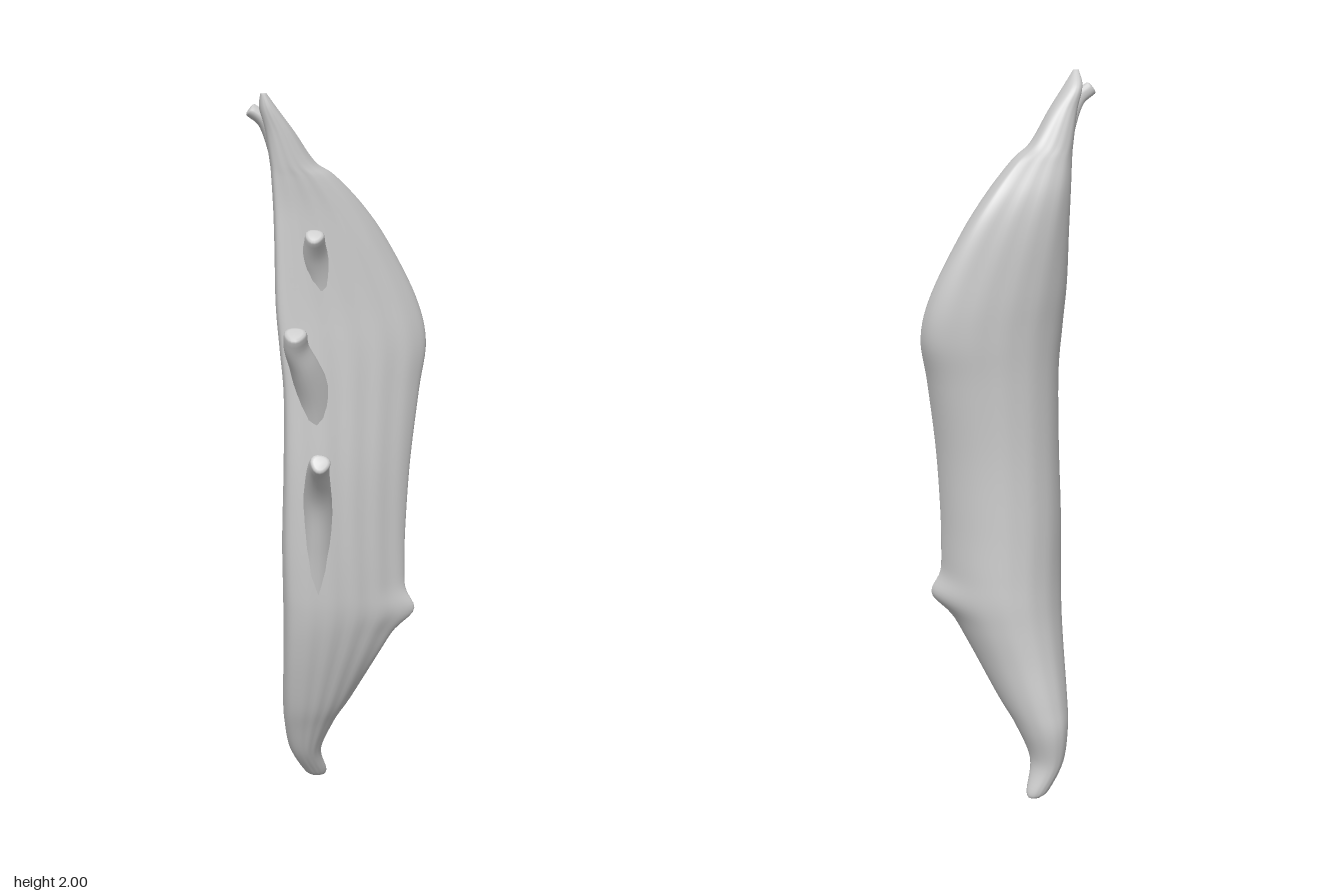
import * as THREE from 'three';

const material = new THREE.MeshStandardMaterial({ color: 0xcccccc, roughness: 0.9 });
const { lerp, smoothstep } = THREE.MathUtils;

// Skin a stack of closed rings and close both ends
function loft(rings, name) {
  const n = rings[0].length, pos = [], idx = [];
  rings.forEach(r => r.forEach(p => pos.push(p.x, p.y, p.z)));
  for (let i = 0; i < rings.length - 1; i++) {
    for (let j = 0; j < n; j++) {
      const k = (j + 1) % n, a = i * n, b = a + n;
      idx.push(a + j, a + k, b + j, a + k, b + k, b + j);
    }
  }
  const cap = (ring, start, up) => {
    const c = ring.reduce((s, p) => s.add(p), new THREE.Vector3()).divideScalar(n);
    const m = pos.length / 3;
    pos.push(c.x, c.y, c.z);
    for (let j = 0; j < n; j++) {
      const k = (j + 1) % n;
      if (up) idx.push(m, start + j, start + k);
      else idx.push(m, start + k, start + j);
    }
  };
  cap(rings[0], 0, false);
  cap(rings[rings.length - 1], (rings.length - 1) * n, true);
  const g = new THREE.BufferGeometry();
  g.setAttribute('position', new THREE.Float32BufferAttribute(pos, 3));
  g.setIndex(idx);
  g.computeVertexNormals();
  const mesh = new THREE.Mesh(g, material);
  mesh.name = name;
  return mesh;
}

// Trunk sections: y, left x, right x, front z, back z, left edge z, right edge z
const sections = [
  [0.00, -0.045, -0.005, -0.150, -0.180, -0.165, -0.165],
  [0.02, -0.070, -0.003, -0.135, -0.190, -0.165, -0.160],
  [0.10, -0.115, -0.025, -0.090, -0.203, -0.150, -0.140],
  [0.20, -0.138, 0.008, -0.045, -0.217, -0.110, -0.115],
  [0.28, -0.148, 0.045, -0.010, -0.207, -0.080, -0.072],
  [0.40, -0.155, 0.095, 0.028, -0.183, -0.045, -0.015],
  [0.50, -0.159, 0.138, 0.054, -0.168, -0.022, 0.022],
  [0.58, -0.162, 0.164, 0.069, -0.160, -0.010, 0.040],
  [0.66, -0.165, 0.172, 0.075, -0.153, 0.000, 0.038],
  [0.80, -0.168, 0.175, 0.078, -0.145, 0.010, 0.032],
  [1.00, -0.165, 0.190, 0.076, -0.136, 0.022, 0.022],
  [1.20, -0.163, 0.220, 0.064, -0.136, 0.022, 0.002],
  [1.33, -0.172, 0.245, 0.055, -0.141, 0.016, -0.022],
  [1.45, -0.180, 0.222, 0.045, -0.146, 0.010, -0.050],
  [1.60, -0.180, 0.150, 0.036, -0.145, 0.005, -0.085],
  [1.70, -0.181, 0.080, 0.031, -0.132, 0.000, -0.095],
  [1.78, -0.185, 0.000, 0.030, -0.100, -0.003, -0.080],
  [1.82, -0.188, -0.060, 0.029, -0.083, -0.005, -0.055],
  [1.90, -0.200, -0.120, 0.026, -0.060, -0.008, -0.030],
  [1.96, -0.215, -0.168, 0.022, -0.045, -0.008, -0.012],
  [2.00, -0.215, -0.200, 0.014, -0.002, 0.006, 0.006],
];

// Smooth interpolation between neighbouring sections
function sectionAt(i, t) {
  const s = k => sections[Math.min(Math.max(k, 0), sections.length - 1)];
  return s(i).map((b, c) => {
    const a = s(i - 1)[c], d = s(i + 1)[c], e = s(i + 2)[c];
    return b + 0.5 * t * (d - a + t * (2 * a - 5 * b + 4 * d - e + t * (3 * (b - d) + e - a)));
  });
}

// Flattish face highest toward -x, back sloping up to the +x edge, one knob on that edge
function trunkRing([y, xl, xr, zf, zb, zl, zr], n = 64) {
  return Array.from({ length: n }, (_, j) => {
    const a = (j / n) * Math.PI * 2, c = Math.cos(a), s = Math.sin(a);
    const u = (c + 1) / 2, base = lerp(zl, zr, u), back = s > 0;
    const power = back
      ? lerp(1.15, lerp(1.05, 0.72, smoothstep(y, 0.9, 1.4)), u)
      : lerp(0.6, 0.95, u);
    const bulge = Math.pow(Math.abs(s), power);
    const width = Math.min(1, (xr - xl) / 0.3);
    const grain = (back ? 0.001 : 0.002) * Math.sin(u * 31 + y * 5) - (back ? 0 : 0.008) * c;
    const z = base + ((back ? zb : zf) - base) * bulge + width * Math.abs(s) * grain;
    const knob = Math.exp(-Math.pow((y - 0.575) / 0.045, 2)) * Math.pow(u, 5) * (back ? 1 - s : 1);
    return new THREE.Vector3(lerp(xl, xr, u) + 0.036 * knob, y, z + 0.01 * knob);
  });
}

// Tapered broken branch with a rounded blunt end
function branch(points, r0, r1, name) {
  const curve = new THREE.CatmullRomCurve3(points.map(p => new THREE.Vector3(...p)));
  const rings = [], steps = 24, n = 18;
  const ring = (c, dir, r) => {
    const u = new THREE.Vector3(1, 0, 0);
    u.addScaledVector(dir, -u.dot(dir)).normalize();
    const v = new THREE.Vector3().crossVectors(dir, u);
    rings.push(Array.from({ length: n }, (_, j) => {
      const a = (j / n) * Math.PI * 2;
      const k = r * (1 + 0.07 * Math.sin(3 * a + 1));
      return c.clone().addScaledVector(u, k * Math.cos(a)).addScaledVector(v, k * Math.sin(a));
    }));
  };
  for (let i = 0; i <= steps; i++) {
    const t = i / steps;
    ring(curve.getPointAt(t), curve.getTangentAt(t), r1 + (r0 - r1) * Math.pow(1 - t, 1.3));
  }
  const end = curve.getPointAt(1), dir = curve.getTangentAt(1);
  for (const [d, k] of [[0.2, 0.9], [0.3, 0.65]]) {
    ring(end.clone().addScaledVector(dir, d * r1), dir, r1 * k);
  }
  return loft(rings, name);
}

export function createModel() {
  const group = new THREE.Group();
  group.name = 'deadWood';

  // Split trunk, with extra rings for the knob
  const rings = [];
  for (let i = 0; i < sections.length - 1; i++) {
    for (let k = 0; k < 6; k++) rings.push(trunkRing(sectionAt(i, k / 6)));
  }
  rings.push(trunkRing(sections[sections.length - 1]));
  group.add(loft(rings, 'trunk'));

  // Branch stubs that swell out of the front
  group.add(branch([[-0.07, 0.6, -0.01], [-0.078, 0.8, 0.04], [-0.09, 0.94, 0.085],
    [-0.106, 1.03, 0.155], [-0.112, 1.062, 0.2]], 0.07, 0.027, 'lowerBranch'));
  group.add(branch([[-0.06, 1.08, -0.02], [-0.085, 1.2, 0.028], [-0.12, 1.29, 0.07],
    [-0.148, 1.35, 0.095], [-0.155, 1.388, 0.115]], 0.07, 0.03, 'middleBranch'));
  group.add(branch([[-0.04, 1.38, -0.045], [-0.055, 1.5, -0.01], [-0.08, 1.58, 0.03],
    [-0.092, 1.637, 0.075]], 0.08, 0.025, 'upperBranch'));

  // Forked splinter at the top
  group.add(branch([[-0.14, 1.76, -0.03], [-0.168, 1.86, -0.022], [-0.2, 1.93, -0.024],
    [-0.232, 1.955, -0.03]], 0.032, 0.018, 'topSplinter'));
  return group;
}
